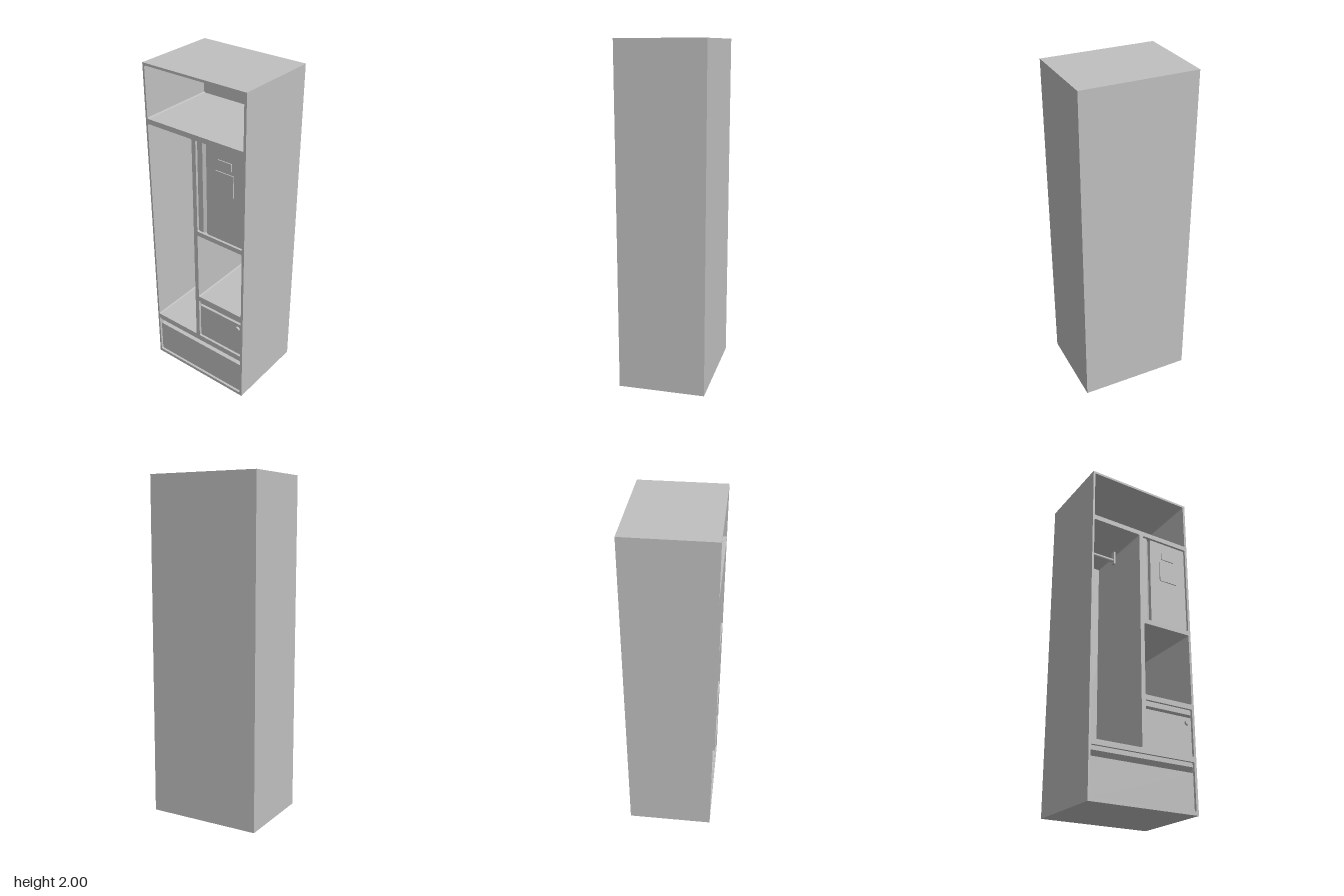
import * as THREE from 'three';

const W = 0.68, H = 2, D = 0.51, FRONT = D / 2;
const BACK = 0.025;             // back panel thickness
const FACE = FRONT - 0.015;     // doors and drawers sit slightly inside the frame
const L = -0.328, R = 0.325, MID_L = -0.015, MID_R = 0.011;

const metal = new THREE.MeshStandardMaterial({ color: 0xc0c0c0 });
metal.name = 'grey metal';

function add(parent, name, geometry, x = 0, y = 0, z = 0) {
  const mesh = new THREE.Mesh(geometry, metal);
  mesh.name = name;
  mesh.position.set(x, y, z);
  parent.add(mesh);
  return mesh;
}

// Rounded rectangular opening
function opening(x0, x1, y0, y1, r = 0.008) {
  const p = new THREE.Path();
  p.moveTo(x0 + r, y0);
  p.lineTo(x1 - r, y0).quadraticCurveTo(x1, y0, x1, y0 + r);
  p.lineTo(x1, y1 - r).quadraticCurveTo(x1, y1, x1 - r, y1);
  p.lineTo(x0 + r, y1).quadraticCurveTo(x0, y1, x0, y1 - r);
  p.lineTo(x0, y0 + r).quadraticCurveTo(x0, y0, x0 + r, y0);
  return p;
}

// Panel with a sloping finger groove below its top edge; front face at z = 0
function groovedPanel(length, height, grooveTop, grooveBottom, depth) {
  const h = height / 2;
  const profile = new THREE.Shape([
    [-0.06, -h], [0, -h], [0, h - grooveBottom], [-depth, h - grooveBottom],
    [0, h - grooveTop], [0, h], [-0.06, h],
  ].map(([z, y]) => new THREE.Vector2(z, y)));
  return new THREE.ExtrudeGeometry(profile, { depth: length, bevelEnabled: false })
    .translate(0, 0, -length / 2)
    .rotateY(-Math.PI / 2);
}

export function createModel() {
  const model = new THREE.Group();
  model.name = 'locker';

  // Cabinet with all compartments cut through, closed by a back panel
  const outline = new THREE.Shape();
  outline.moveTo(-W / 2, 0);
  outline.lineTo(W / 2, 0).lineTo(W / 2, H).lineTo(-W / 2, H).closePath();
  outline.holes = [
    opening(L, R, 1.685, 1.986),          // top shelf
    opening(L, MID_L, 0.32, 1.655),       // hanging space
    opening(MID_R, R, 1.09, 1.655),       // door
    opening(MID_R, R, 0.625, 1.062),      // open cubby
    opening(MID_R, R, 0.32, 0.595),       // small drawer
    opening(L, R, 0.02, 0.29),            // wide drawer
  ];
  add(model, 'cabinet', new THREE.ExtrudeGeometry(outline,
    { depth: D - BACK, bevelEnabled: false, curveSegments: 4 }), 0, 0, -D / 2 + BACK);
  add(model, 'backPanel', new THREE.BoxGeometry(W, H, BACK), 0, H / 2, -D / 2 + BACK / 2);

  // Drawers
  const cx = (MID_R + R) / 2, cellW = R - MID_R;
  add(model, 'wideDrawer', groovedPanel(R - L, 0.27, 0.025, 0.057, 0.03), (L + R) / 2, 0.155, FACE);
  add(model, 'smallDrawer', groovedPanel(cellW, 0.275, 0.03, 0.047, 0.02), cx, 0.4575, FACE);
  add(model, 'drawerLock', new THREE.CylinderGeometry(0.014, 0.014, 0.013, 24).rotateX(Math.PI / 2),
    0.295, 0.515, FACE + 0.0065);

  // Door with a vertical groove and two thin plates
  const door = new THREE.Group();
  door.name = 'door';
  door.position.set(cx, 1.3725, FACE);
  model.add(door);
  add(door, 'doorPanel', groovedPanel(0.565, cellW, 0.034, 0.06, 0.025).rotateZ(Math.PI / 2));
  add(door, 'namePlate', new THREE.BoxGeometry(0.09, 0.045, 0.006), 0.029, 0.19, 0.003);
  add(door, 'noticePlate', new THREE.BoxGeometry(0.118, 0.13, 0.006), 0.029, 0.08, 0.003);

  // Clothes rail hung from two brackets
  const rail = new THREE.Group();
  rail.name = 'clothesRail';
  rail.position.x = (L + MID_L) / 2;
  model.add(rail);
  for (const side of [-1, 1]) {
    add(rail, 'railBracket', new THREE.BoxGeometry(0.013, 0.087, 0.03), side * 0.128, 1.6125, 0);
  }
  add(rail, 'rail', new THREE.CylinderGeometry(0.012, 0.012, 0.256, 20).rotateZ(Math.PI / 2), 0, 1.594, 0);

  return model;
}
